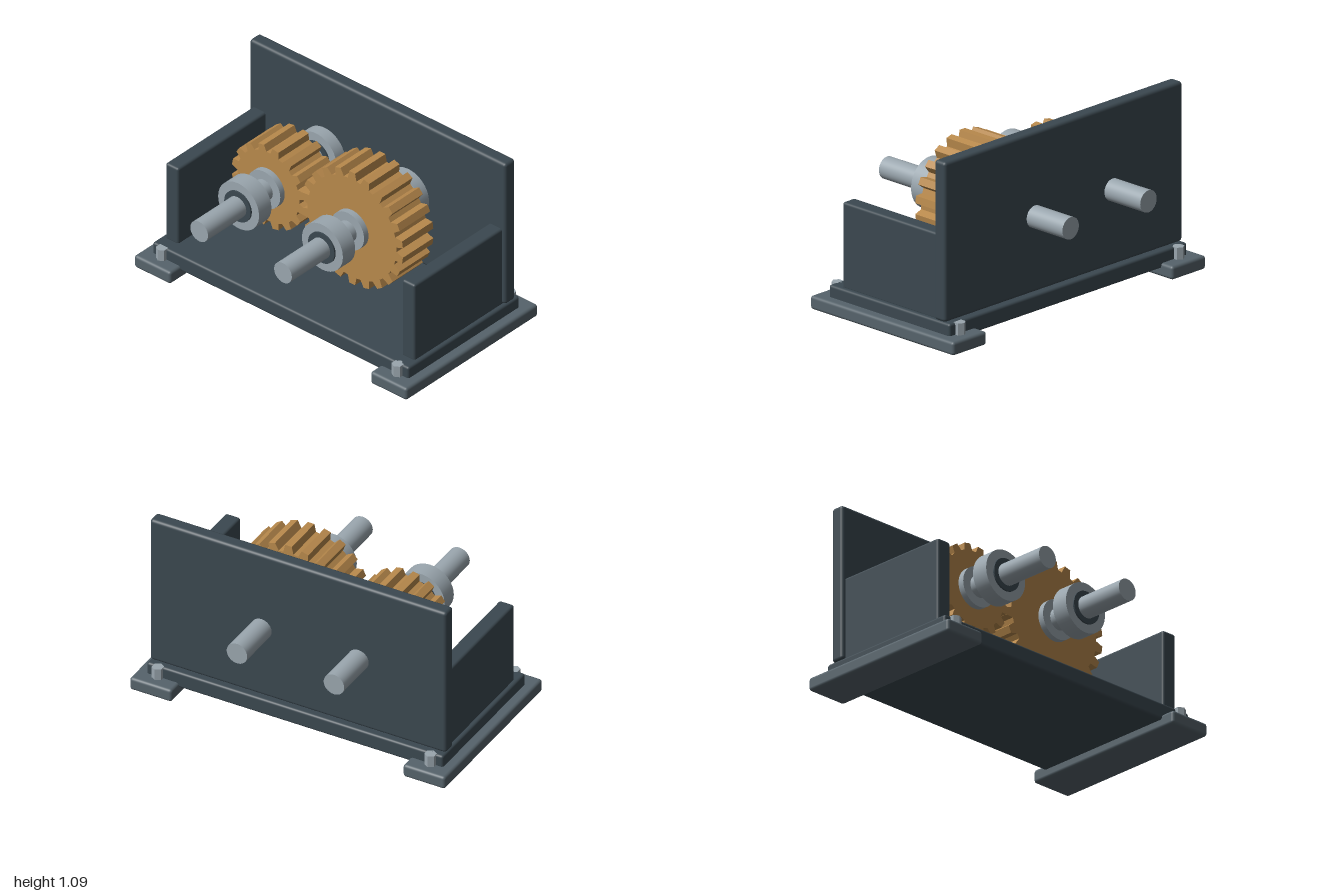
import * as THREE from 'three';
import { RoundedBoxGeometry } from 'three/addons/geometries/RoundedBoxGeometry.js';

const mat = (color) => new THREE.MeshStandardMaterial({ color });
const dark = mat(0x3b4850);
const slate = mat(0x56636b);
const steel = mat(0x9aa6ae);
const brass = mat(0xb8894c);

function add(parent, name, geometry, material, x = 0, y = 0, z = 0) {
  const mesh = new THREE.Mesh(geometry, material);
  mesh.name = name;
  mesh.position.set(x, y, z);
  parent.add(mesh);
  return mesh;
}

// Rounded plate given by its extents on each axis
function plate(parent, name, material, [x0, x1], [y0, y1], [z0, z1], radius = 0.015) {
  const geometry = new RoundedBoxGeometry(x1 - x0, y1 - y0, z1 - z0, 3, radius);
  return add(parent, name, geometry, material, (x0 + x1) / 2, (y0 + y1) / 2, (z0 + z1) / 2);
}

// Cylinder lying along z
function rod(parent, name, material, radius, length, z = 0) {
  const geometry = new THREE.CylinderGeometry(radius, radius, length, 48).rotateX(Math.PI / 2);
  return add(parent, name, geometry, material, 0, 0, z);
}

// Spur gear with tapered teeth; a gap faces the neighbouring gear
function gearGeometry(teeth, root, tip, width) {
  const pitch = (Math.PI * 2) / teeth;
  const points = [];
  for (let i = 0; i < teeth; i++) {
    const mid = (i + 0.5) * pitch;
    for (const [offset, r] of [[-0.34, root], [-0.2, tip], [0.2, tip], [0.34, root]]) {
      const a = mid + offset * pitch;
      points.push(new THREE.Vector2(r * Math.cos(a), r * Math.sin(a)));
    }
  }
  const geometry = new THREE.ExtrudeGeometry(new THREE.Shape(points), { depth: width, bevelEnabled: false });
  return geometry.translate(0, 0, -width / 2);
}

export function createModel() {
  const model = new THREE.Group();
  model.name = 'gearTrain';

  // Housing
  plate(model, 'basePlate', dark, [-0.94, 0.94], [0.05, 0.15], [-0.468, 0.468]);
  plate(model, 'backPanel', dark, [-0.94, 0.94], [0.15, 1.09], [-0.433, -0.347], 0.02);

  // Mirrored side walls, feet and bolts
  for (const [side, label] of [[1, 'left'], [-1, 'right']]) {
    const span = (a, b) => (side > 0 ? [a, b] : [-b, -a]);
    plate(model, label + 'SideWall', dark, span(0.82, 0.915), [0.14, 0.65], [-0.39, 0.388]);
    plate(model, label + 'Foot', slate, span(0.733, 1), [0, 0.08], [-0.555, 0.555], 0.018);
    for (const end of [1, -1]) {
      const bolt = new THREE.CylinderGeometry(0.035, 0.035, 0.08, 6).toNonIndexed();
      bolt.computeVertexNormals();
      add(model, label + (end > 0 ? 'Front' : 'Back') + 'Bolt', bolt, steel, side * 0.865, 0.11, end * 0.472);
    }
  }

  // Shaft assemblies: gear, hub, and a bearing at each end
  const assemblies = [
    { name: 'small', x: -0.385, teeth: 16, root: 0.228, tip: 0.269 },
    { name: 'large', x: 0.23, teeth: 22, root: 0.326, tip: 0.374 },
  ];
  for (const { name, x, teeth, root, tip } of assemblies) {
    const group = new THREE.Group();
    group.name = name + 'GearAssembly';
    group.position.set(x, 0.595, 0);
    model.add(group);
    rod(group, 'shaft', steel, 0.065, 1.42);
    rod(group, 'hub', steel, 0.12, 0.33);
    add(group, 'gear', gearGeometry(teeth, root, tip, 0.256), brass);
    for (const end of [1, -1]) {
      rod(group, 'bearingRing', steel, 0.15, 0.104, end * 0.326);
      rod(group, 'bearingSleeve', dark, 0.097, 0.124, end * 0.326);
    }
  }
  return model;
}
